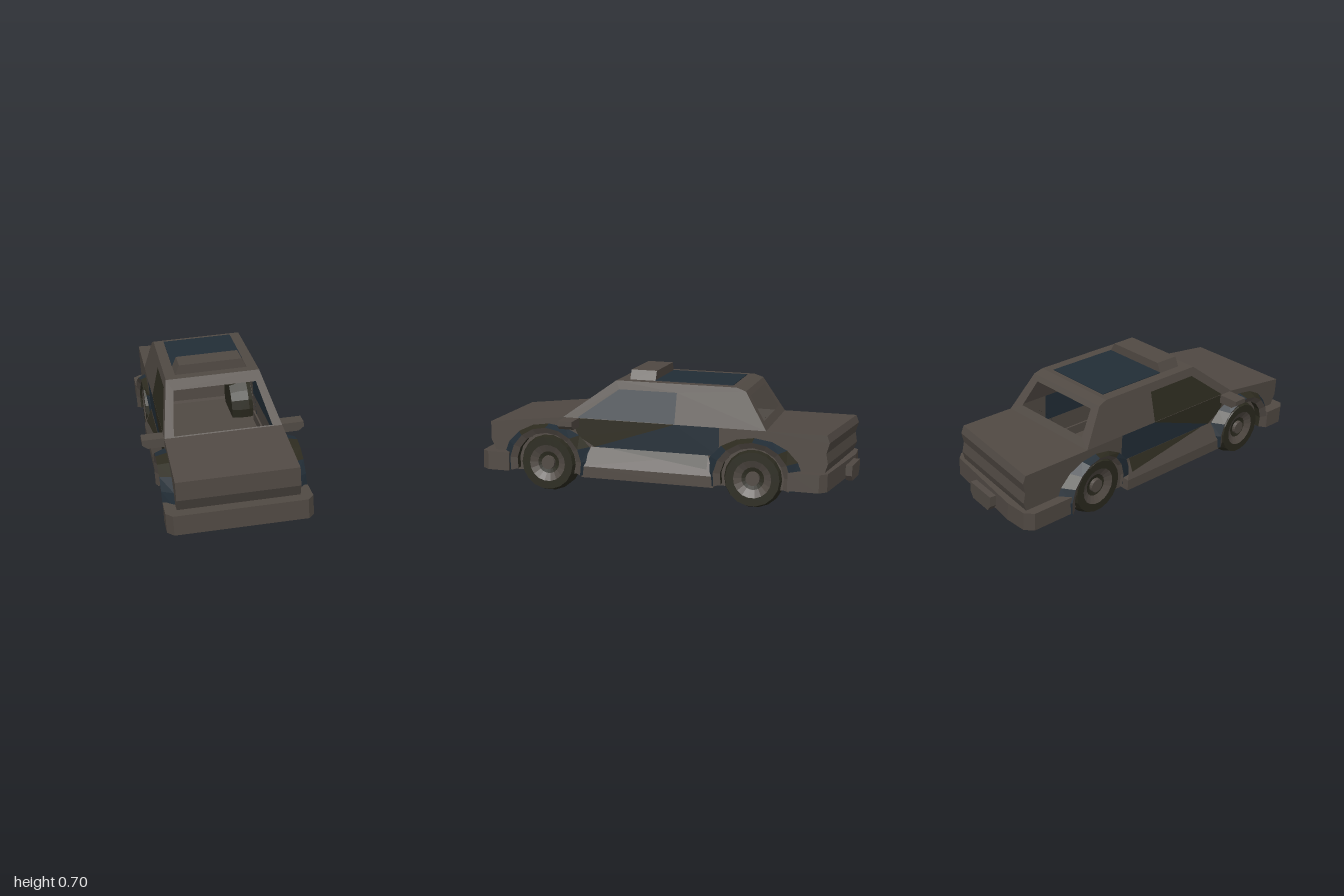
import * as THREE from 'three';

const mat = (name, color) =>
  new THREE.MeshStandardMaterial({ name, color, side: THREE.DoubleSide, flatShading: true });
const grey = mat('bodyGrey', 0x504943);
const blue = mat('patchBlue', 0x222d36);
const olive = mat('patchOlive', 0x2d2b1f);
const black = mat('tyreBlack', 0x2a291e);
const silver = mat('silver', 0xa9a6b0);

const V = (x, y, z) => new THREE.Vector3(x, y, z);
const shapeOf = pts => new THREE.Shape(pts.map(p => new THREE.Vector2(...p)));

function add(parent, name, geo, material) {
  const m = new THREE.Mesh(geo, material);
  m.name = name;
  parent.add(m);
  return m;
}

// Strip of quads between two rows of points
function loft(a, b) {
  const v = [];
  for (let i = 0; i < a.length - 1; i++)
    for (const p of [a[i], b[i], b[i + 1], a[i], b[i + 1], a[i + 1]]) v.push(p.x, p.y, p.z);
  const g = new THREE.BufferGeometry();
  g.setAttribute('position', new THREE.Float32BufferAttribute(v, 3));
  g.computeVertexNormals();
  return g;
}

// Rear end pushed in toward the left corner
function crush(g) {
  const p = g.attributes.position;
  for (let i = 0; i < p.count; i++) {
    const k = THREE.MathUtils.clamp((-p.getZ(i) - 0.65) / 0.3, 0, 1);
    p.setZ(i, p.getZ(i) + 0.18 * k * Math.max(0, p.getX(i) + 0.19));
  }
  g.computeVertexNormals();
  return g;
}

// Sheet following a [z, y] profile across the car
const sheet = pts => loft(pts.map(([z, y]) => V(-0.3, y, z)), pts.map(([z, y]) => V(0.3, y, z)));

// Plan outline [x, -z] extruded from y0 to y1
function plan(pts, y0, y1) {
  const g = new THREE.ExtrudeGeometry(shapeOf(pts), { depth: y1 - y0, bevelEnabled: false });
  return g.rotateX(-Math.PI / 2).translate(0, y0, 0);
}

// Flat side panel [z, y] leaning inward above the belt line
function sidePanel(pts, s, off = 0, hole) {
  const sh = shapeOf(pts);
  if (hole) sh.holes.push(new THREE.Path(hole.map(p => new THREE.Vector2(...p))));
  const g = new THREE.ShapeGeometry(sh), p = g.attributes.position;
  for (let i = 0; i < p.count; i++) {
    const z = p.getX(i), y = p.getY(i);
    p.setXYZ(i, s * (0.3 + off - Math.max(0, y - 0.43) * 0.266), y, z);
  }
  g.computeVertexNormals();
  return g;
}

// Window frame on a symmetric trapezoid, open in the middle
function windowFrame(bw, by, bz, tw, ty, tz, u, v0, v1) {
  const at = (s, v, k) => V(s * k * THREE.MathUtils.lerp(bw, tw, v),
    THREE.MathUtils.lerp(by, ty, v), THREE.MathUtils.lerp(bz, tz, v));
  const ring = (a, b, k) => [at(-1, a, k), at(1, a, k), at(1, b, k), at(-1, b, k), at(-1, a, k)];
  return loft(ring(0, 1, 1), ring(v0, v1, u));
}

// Wheel arch: patched flare around a grey lip
function arch(parent, s, cz, dent) {
  const n = 10, root = [], lip = [], inner = [];
  for (let i = 0; i <= n; i++) {
    const a = -0.25 + (Math.PI + 0.5) * i / n, c = Math.cos(a), h = Math.sin(a);
    const x = s * (0.357 - dent * (1 + c) / 2);
    root.push(V(s * 0.299, 0.18 + 0.21 * h, cz + 0.26 * c));
    lip.push(V(x, 0.18 + 0.197 * h, cz + 0.203 * c));
    inner.push(V(x - s * 0.02, 0.18 + 0.165 * h, cz + 0.168 * c));
  }
  const patches = [[0, 3, blue], [3, 5, olive], [5, 7, blue], [7, 8, olive], [8, n, blue]];
  for (const [a, b, m] of patches)
    add(parent, 'archFlare', loft(root.slice(a, b + 1), lip.slice(a, b + 1)), m);
  add(parent, 'archLip', loft(lip, inner), grey);
  add(parent, 'archWell', loft(inner, inner.map(p => V(s * 0.299, p.y, p.z))), black);
}

function wheel(parent, s, y, z) {
  const w = new THREE.Group();
  w.name = 'wheel';
  const lathe = pts => new THREE.LatheGeometry(pts.map(p => new THREE.Vector2(...p)), 18)
    .rotateZ(-s * Math.PI / 2);
  add(w, 'tyre', lathe([[0, -0.075], [0.143, -0.075], [0.16, -0.025], [0.16, 0.025],
    [0.143, 0.075], [0.1, 0.075]]), black);
  add(w, 'rim', lathe([[0.1, 0.075], [0.06, 0.055]]), grey);
  add(w, 'rimRing', lathe([[0.06, 0.055], [0.038, 0.05]]), black);
  add(w, 'hubCap', lathe([[0.038, 0.05], [0.036, 0.068], [0, 0.068]]), grey);
  w.position.set(s * 0.252, y, z);
  parent.add(w);
}

export function createModel() {
  const model = new THREE.Group();
  model.name = 'wreckedCar';
  const car = new THREE.Group();
  car.name = 'tiltedCar';
  car.rotation.z = 0.07;
  car.position.x = 0.026;
  model.add(car);

  // Hollow lower body: trunk, back, floor, front and hood in one sheet
  const tail = [[-0.55, 0.43], [-0.95, 0.43], [-0.965, 0.39], [-0.95, 0.335], [-0.96, 0.28],
    [-0.93, 0.2], [-0.68, 0.125]];
  const nose = [[0.9, 0.125], [0.93, 0.21], [0.965, 0.285], [0.965, 0.38], [0.55, 0.43]];
  add(car, 'bodyShell', crush(sheet([...tail, ...nose])), grey);
  const doorway = [[0.51, 0.43], [0.46, 0.33], [0.37, 0.28], [-0.305, 0.28], [-0.305, 0.43]];

  // Bumpers
  add(car, 'frontBumper', plan([[-0.357, -0.84], [-0.357, -0.96], [-0.325, -1], [0.325, -1],
    [0.357, -0.96], [0.357, -0.84]], 0.125, 0.225), grey);
  add(car, 'rearBumper', crush(plan([[0.357, 0.69], [0.357, 0.93], [0.32, 0.968], [-0.19, 0.968],
    [-0.31, 0.968], [-0.35, 0.93], [-0.35, 0.69]], 0.14, 0.235)), grey);

  // Cabin: roof, window frames
  add(car, 'roof', loft(
    [V(-0.245, 0.637, 0.27), V(-0.245, 0.637, -0.38), V(-0.25, 0.62, -0.43)],
    [V(0.245, 0.637, 0.27), V(0.245, 0.637, -0.38), V(0.25, 0.62, -0.43)]), grey);
  add(car, 'windscreenFrame',
    windowFrame(0.3, 0.43, 0.55, 0.245, 0.637, 0.27, 0.84, 0.02, 0.8), grey);
  add(car, 'rearWindowFrame',
    windowFrame(0.3, 0.43, -0.55, 0.25, 0.62, -0.43, 0.8, 0.2, 0.86), grey);
  add(car, 'roofPanel', new THREE.BoxGeometry(0.38, 0.004, 0.42).translate(0, 0.638, -0.14), blue);

  // Tapered roof sign
  const sign = new THREE.BoxGeometry(0.38, 0.05, 0.14).translate(0, 0.662, 0.14);
  const sp = sign.attributes.position;
  for (let i = 0; i < sp.count; i++) if (sp.getY(i) > 0.66) sp.setX(i, sp.getX(i) * 0.87);
  sign.computeVertexNormals();
  add(car, 'roofSign', sign, grey);

  const pane = [[0.47, 0.432], [0.25, 0.592], [-0.065, 0.592], [-0.065, 0.432]];
  for (const s of [1, -1]) {
    // Body side, cabin side and window pane
    add(car, 'bodySide', crush(sidePanel([...nose, ...doorway, ...tail], s)), grey);
    add(car, 'cabinSide', sidePanel([[0.55, 0.43], [0.27, 0.637], [-0.38, 0.637],
      [-0.43, 0.62], [-0.55, 0.43]], s, 0, pane), grey);
    add(car, 'sideWindow', sidePanel(pane, s), s > 0 ? blue : olive);
    add(car, 'innerWindow', sidePanel(pane, s, -0.004), blue);
    // Two-tone door
    add(car, 'doorRearPatch', sidePanel([[-0.065, 0.43], [-0.305, 0.43], [-0.305, 0.28],
      [0.37, 0.28]], s), blue);
    add(car, 'doorFrontPatch', sidePanel([[-0.065, 0.43], [0.37, 0.28], [0.46, 0.33],
      [0.51, 0.43]], s), olive);
    // Sloping sill
    const sill = plan([[0.29, -0.43], [0.345, -0.43], [0.345, 0.29], [0.29, 0.29]], 0.12, 0.18);
    add(car, 'sill', sill.translate(s > 0 ? 0 : -0.635, 0, 0), grey);
    add(car, 'sillSlope', loft([V(s * 0.345, 0.18, 0.43), V(s * 0.345, 0.18, -0.29)],
      [V(s * 0.302, 0.28, 0.39), V(s * 0.302, 0.28, -0.25)]), grey);
    add(car, 'sillPatch', loft([V(s * 0.303, 0.281, 0.3), V(s * 0.303, 0.281, -0.25)],
      [V(s * 0.304, 0.279, 0.3), V(s * 0.333, 0.212, -0.25)]), olive);
    // Wing mirror
    const mirror = new THREE.ExtrudeGeometry(shapeOf([[0.29, 0.383], [0.385, 0.383],
      [0.413, 0.403], [0.413, 0.43], [0.29, 0.43]]), { depth: 0.08, bevelEnabled: false });
    mirror.translate(0, 0, -0.04);
    if (s < 0) mirror.rotateY(Math.PI);
    add(car, 'wingMirror', mirror, grey).position.z = 0.5;
    // Arches and wheels; the right rear corner is knocked in
    const hit = s < 0 ? 1 : 0;
    arch(car, s, 0.63, 0);
    arch(car, s, -0.49, 0.05 * hit);
    wheel(car, s, 0.177, 0.63);
    wheel(car, s, 0.177 + 0.035 * hit, -0.49);
  }

  // Loose plates
  const loosePlate = (w, h, d) => new THREE.ExtrudeGeometry(shapeOf([[-w, h], [-w, -h * 0.3],
    [-w * 0.75, -h], [w * 0.75, -h], [w, -h * 0.3], [w, h]]), { depth: d, bevelEnabled: false });
  const rear = add(model, 'looseRearPlate', loosePlate(0.093, 0.042, 0.035), grey);
  rear.position.set(0.015, 0.19, -0.988);
  rear.rotation.set(0, -0.12, 0.07);
  const front = add(car, 'looseFrontPlate', loosePlate(0.072, 0.01, 0.03), silver);
  front.position.set(-0.002, 0.118, 0.75);
  return model;
}
